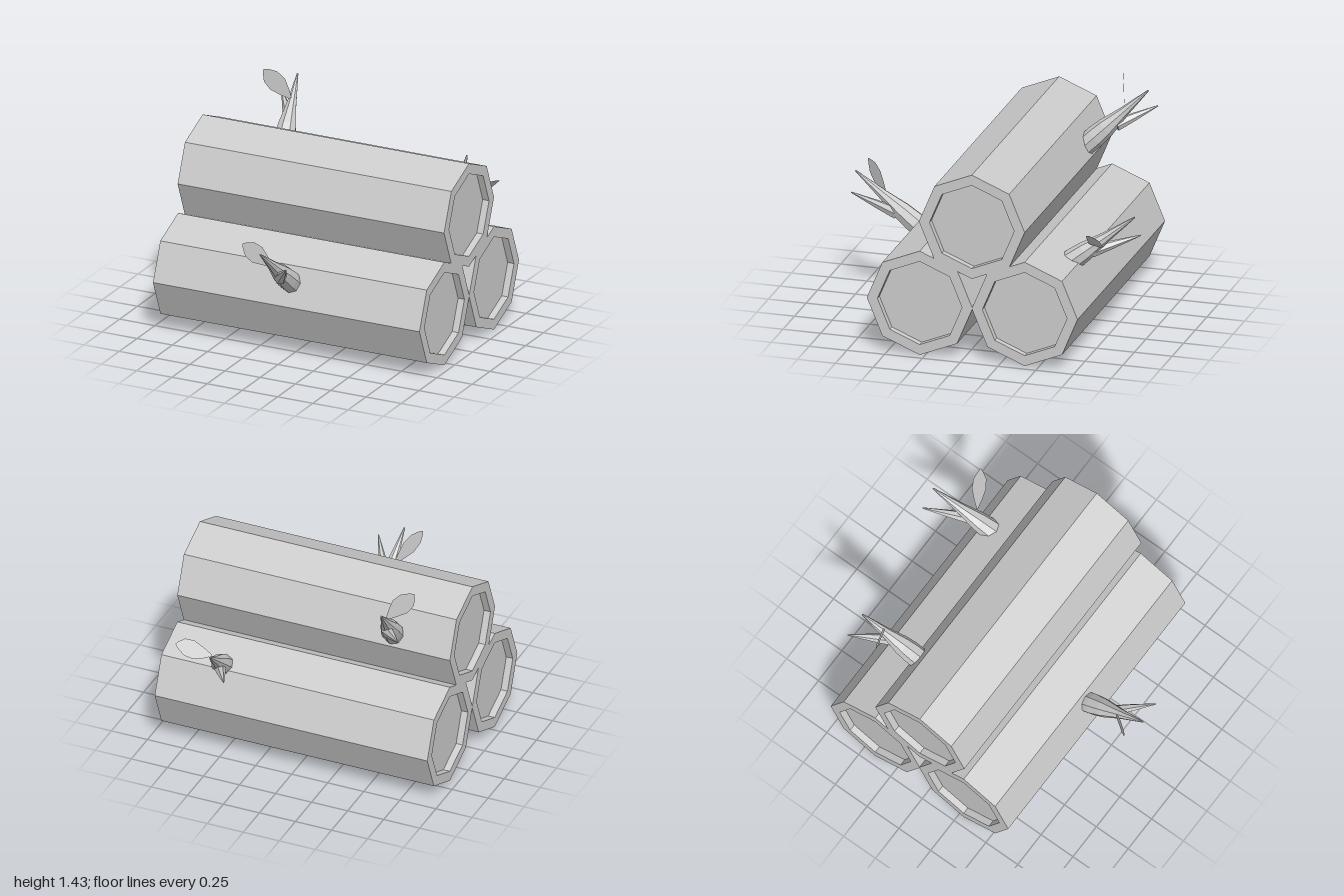
import * as THREE from 'three';

const bark = new THREE.MeshStandardMaterial({ color: 0xcccccc, flatShading: true });
const leafMaterial = new THREE.MeshStandardMaterial({ color: 0xcccccc, flatShading: true, side: THREE.DoubleSide });
const UP = new THREE.Vector3(0, 1, 0);

// Turned solid from [radius, height] pairs, bottom to top
function turned(profile, name, sides = 8) {
  const points = profile.map(([r, y]) => new THREE.Vector2(r, y));
  const mesh = new THREE.Mesh(new THREE.LatheGeometry(points, sides), bark);
  mesh.name = name;
  return mesh;
}

// Octagonal log along x with a recessed face at each end
function createLog(y, z) {
  const half = 0.945, inner = half - 0.045, R = 0.35, r = 0.28;
  const log = turned([
    [0, -inner], [r, -inner], [r, -half], [R, -half],
    [R, half], [r, half], [r, inner], [0, inner],
  ], 'log');
  log.rotation.z = -Math.PI / 2;
  log.position.set(0, y, z);
  return log;
}

// Tapered spike between two points; profile is [radius, fraction of length]
function createSpike(from, to, profile, name, sides) {
  const a = new THREE.Vector3(...from);
  const dir = new THREE.Vector3(...to).sub(a);
  const length = dir.length();
  const spike = turned(profile.map(([r, t]) => [r, t * length]), name, sides);
  spike.position.copy(a);
  spike.quaternion.setFromUnitVectors(UP, dir.normalize());
  return spike;
}

// Flat pointed leaf from base to tip, spread along the half-width vector
function createLeaf(base, tip, spread) {
  const a = new THREE.Vector3(...base), b = new THREE.Vector3(...tip), w = new THREE.Vector3(...spread);
  const outline = [[0, 0.08], [0.22, 0.55], [0.5, 1], [0.75, 0.9], [0.92, 0.4], [1, 0.03]];
  const positions = [], index = [];
  outline.forEach(([t, k], i) => {
    const mid = a.clone().lerp(b, t);
    positions.push(...mid.clone().addScaledVector(w, -k).toArray(), ...mid.clone().addScaledVector(w, k).toArray());
    if (i > 0) {
      const n = i * 2;
      index.push(n - 2, n - 1, n, n - 1, n + 1, n);
    }
  });
  const geometry = new THREE.BufferGeometry();
  geometry.setAttribute('position', new THREE.Float32BufferAttribute(positions, 3));
  geometry.setIndex(index);
  geometry.computeVertexNormals();
  const leaf = new THREE.Mesh(geometry, leafMaterial);
  leaf.name = 'leaf';
  return leaf;
}

const stemProfile = [[0, 0], [0.068, 0], [0.07, 0.2], [0.062, 0.36], [0.034, 0.62], [0.005, 1], [0, 1]];
const twigProfile = [[0, 0], [0.04, 0], [0.026, 0.45], [0.004, 1], [0, 1]];

function createBranch({ stem, twig, leaf }) {
  const branch = new THREE.Group();
  branch.name = 'branch';
  branch.add(
    createSpike(...stem, stemProfile, 'stem', 8),
    createSpike(...twig, twigProfile, 'twig', 6),
    createLeaf(...leaf),
  );
  return branch;
}

export function createModel() {
  const model = new THREE.Group();
  model.name = 'logPile';

  // Two logs below, one resting on top
  model.add(createLog(0.355, 0.285), createLog(0.355, -0.41), createLog(0.905, -0.06));

  const branches = [
    { // front lower log
      stem: [[0, 0.465, 0.52], [0, 0.84, 1]],
      twig: [[0.005, 0.585, 0.73], [0.17, 0.755, 0.975]],
      leaf: [[-0.02, 0.69, 0.8], [-0.145, 0.875, 0.96], [0.023, 0.045, -0.028]],
    },
    { // back lower log
      stem: [[0.56, 0.53, -0.51], [0.46, 0.9, -0.99]],
      twig: [[0.515, 0.66, -0.72], [0.36, 0.745, -1]],
      leaf: [[0.565, 0.73, -0.72], [0.765, 0.835, -0.84], [0.015, 0.04, 0.045]],
    },
    { // top log
      stem: [[-0.53, 0.95, -0.34], [-0.62, 1.35, -0.75]],
      twig: [[-0.575, 1.11, -0.55], [-0.745, 1.205, -0.775]],
      leaf: [[-0.59, 1.235, -0.6], [-0.755, 1.43, -0.54], [0.046, 0.042, -0.012]],
    },
  ];
  branches.forEach((b) => model.add(createBranch(b)));
  return model;
}
